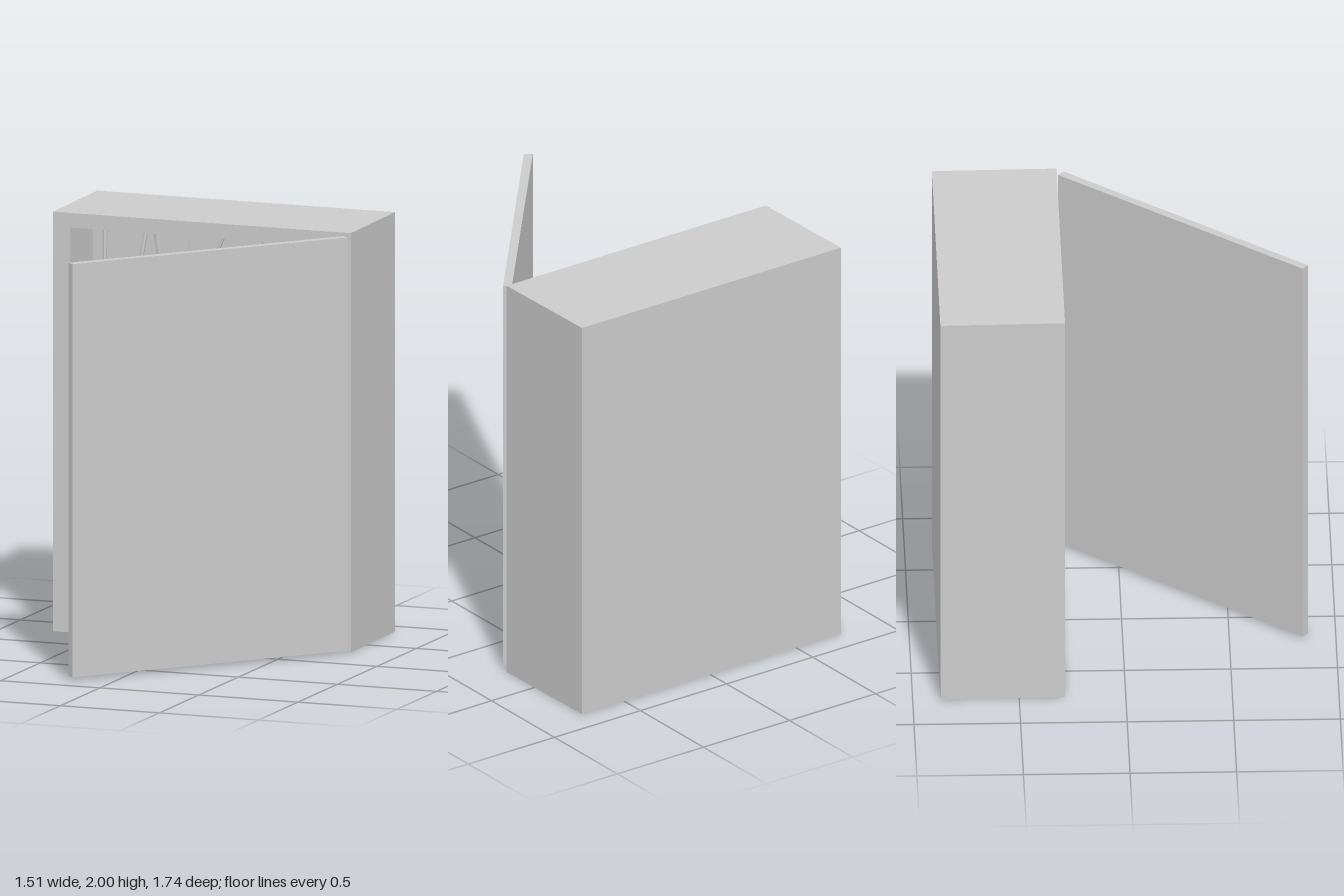
import * as THREE from 'three';

const material = new THREE.MeshStandardMaterial({ color: 0xcccccc });
const flatMaterial = new THREE.MeshStandardMaterial({ color: 0xcccccc, flatShading: true });

function addMesh(parent, name, geometry, mat = material) {
  const mesh = new THREE.Mesh(geometry, mat);
  mesh.name = name;
  parent.add(mesh);
  return mesh;
}

// Slight skew of the cabinet: the back sits a little towards -x
function skew(geometry) {
  const p = geometry.attributes.position;
  for (let i = 0; i < p.count; i++) p.setX(i, p.getX(i) + 0.017 * (p.getZ(i) + 0.43));
  return geometry;
}

function rectangle(PathType, x, y0, y1) {
  return new PathType([[-x, y0], [x, y0], [x, y1], [-x, y1]].map(([a, b]) => new THREE.Vector2(a, b)));
}

// Straight-segmented wire
function addWire(parent, points, radius = 0.011) {
  const path = new THREE.CurvePath();
  const v = points.map((p) => new THREE.Vector3(...p));
  for (let i = 1; i < v.length; i++) path.add(new THREE.LineCurve3(v[i - 1], v[i]));
  addMesh(parent, 'wire', new THREE.TubeGeometry(path, (v.length - 1) * 8, radius, 6), flatMaterial);
}

function createCanister() {
  const canister = new THREE.Group();
  canister.name = 'canister';
  const body = addMesh(canister, 'canisterBody', new THREE.CylinderGeometry(0.14, 0.14, 0.86, 32));
  body.position.y = 0.925;

  // Faceted end caps: [radius, height]
  const bottom = [[0, 0.275], [0.035, 0.275], [0.045, 0.3], [0.08, 0.305], [0.09, 0.34],
    [0.115, 0.37], [0.14, 0.46], [0.14, 0.5]];
  const top = [[0.14, 1.35], [0.14, 1.385], [0.112, 1.5], [0.09, 1.515], [0.08, 1.54],
    [0.045, 1.545], [0.04, 1.57], [0, 1.57]];
  for (const [name, profile] of [['bottomCap', bottom], ['topCap', top]]) {
    const points = profile.map((p) => new THREE.Vector2(...p));
    addMesh(canister, name, new THREE.LatheGeometry(points, 12, Math.PI / 12), flatMaterial);
  }

  // Clamp bands
  for (const [y0, y1] of [[0.5, 0.6], [0.655, 0.745], [1.07, 1.165], [1.245, 1.35]]) {
    const band = addMesh(canister, 'clampBand', new THREE.CylinderGeometry(0.16, 0.16, y1 - y0, 32));
    band.position.y = (y0 + y1) / 2;
  }
  return canister;
}

export function createModel() {
  const model = new THREE.Group();
  model.name = 'cabinet';

  // Cabinet shell: open frame in front of a solid back
  const outline = rectangle(THREE.Shape, 0.752, 0, 2);
  outline.holes.push(rectangle(THREE.Path, 0.665, 0.07, 1.93));
  const frame = new THREE.ExtrudeGeometry(outline, { depth: 0.295, bevelEnabled: false });
  addMesh(model, 'cabinetFrame', skew(frame.translate(0, 0, -0.58)));
  const back = new THREE.BoxGeometry(1.504, 2, 0.29);
  addMesh(model, 'cabinetBack', skew(back.translate(0, 1, -0.725)));

  // Open door, hinged on the left
  const door = addMesh(model, 'door', new THREE.BoxGeometry(1.464, 1.97, 0.042));
  door.position.set(0.265, 1, 0.296);
  door.rotation.y = 0.873;

  // Row of three canisters
  const centres = [-0.405, 0.025, 0.455];
  for (const x of centres) {
    const canister = createCanister();
    canister.position.set(x, 0, -0.435);
    model.add(canister);
  }

  // Wires
  const z = -0.44;
  const wires = new THREE.Group();
  wires.name = 'wires';
  model.add(wires);
  addWire(wires, [[-0.575, 1.94, -0.51], [-0.608, 0.06, -0.51]]);
  addWire(wires, [[-0.28, 1.94, -0.4], [-0.22, 1.25, -0.5], [-0.19, 0.06, -0.53]]);
  addWire(wires, [[-0.14, 1.94, -0.5], [-0.16, 0.9, -0.53], [-0.17, 0.06, -0.53]]);
  addWire(wires, [[0.23, 1.94, -0.5], [0.25, 0.06, -0.53]]);
  addWire(wires, [[-0.405, 1.55, z], [-0.345, 1.94, -0.46]]);
  addWire(wires, [[0.025, 1.55, z], [0.01, 1.82, z], [0.06, 1.94, z]]);
  addWire(wires, [[0.455, 1.55, z], [0.5, 1.94, -0.46]]);
  for (const x of centres) addWire(wires, [[x, 0.285, z], [x - 0.135, 0.06, z]]);
  for (const x of centres.slice(0, 2)) {
    addWire(wires, [[x, 0.285, z], [x + 0.035, 0.21, z], [x + 0.125, 0.17, z],
      [x + 0.22, 0.155, z], [x + 0.36, 0.19, z], [x + 0.43, 0.285, z]]);
  }
  addWire(wires, [[-0.19, 0.12, z], [-0.245, 0.06, z]]);

  return model;
}
